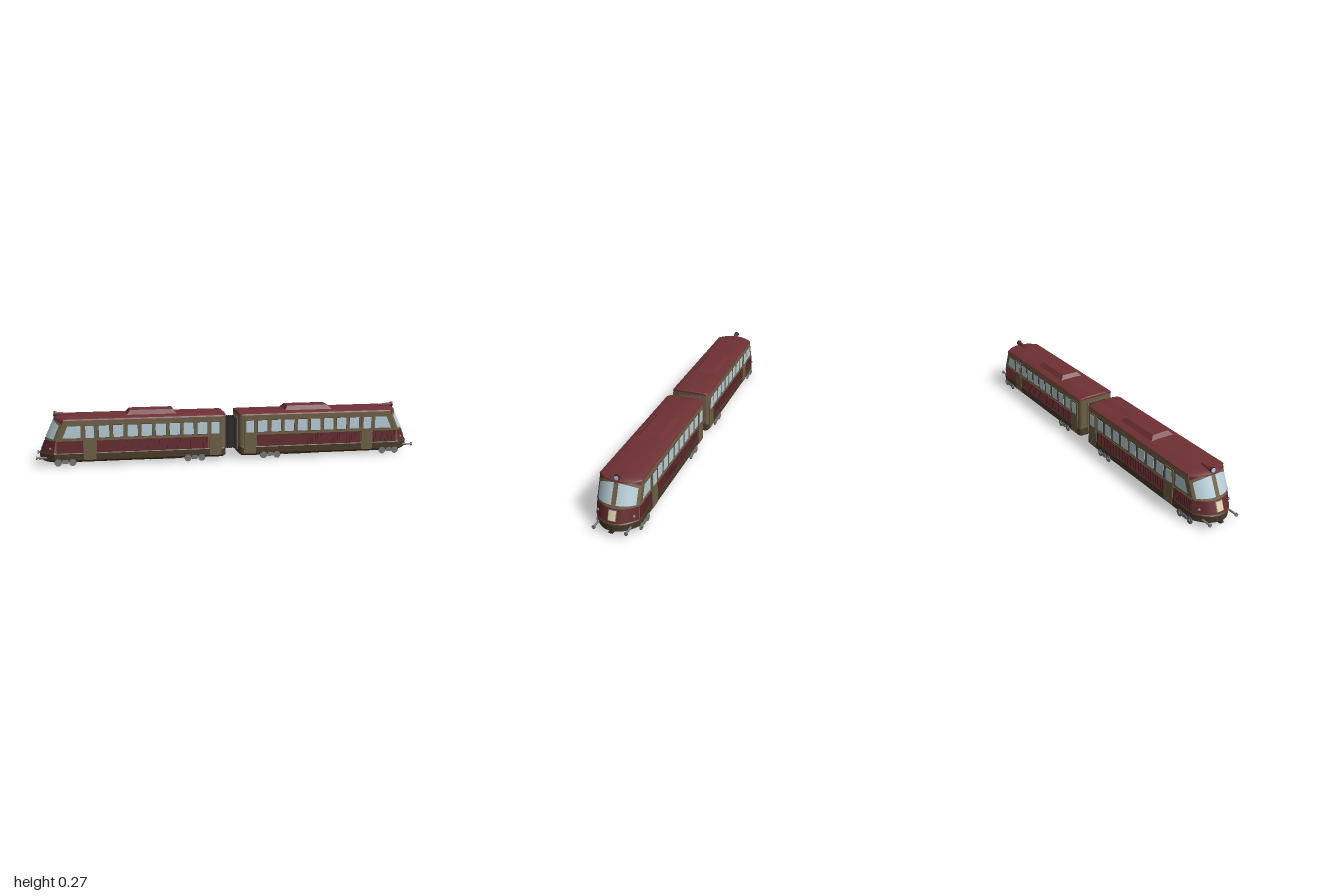
import * as THREE from 'three';
import { toCreasedNormals } from 'three/addons/utils/BufferGeometryUtils.js';

const mat = (name, color, side = THREE.FrontSide) => {
  const m = new THREE.MeshStandardMaterial({ color, side });
  m.name = name;
  return m;
};

export function createModel() {
  const brown = mat('olive brown', 0x6e6045);
  const dark = mat('dark brown', 0x4a3b27);
  const red = mat('roof red', 0x6e3033);
  const panelRed = mat('panel red', 0x652a2e, THREE.DoubleSide);
  const glass = mat('pale glass', 0xb9ced8, THREE.DoubleSide);
  const cream = mat('cream', 0xe2d2a6, THREE.DoubleSide);
  const grey = mat('steel grey', 0x77777a);
  const black = mat('rubber black', 0x29292a);
  const REAR = 0.035, W = 0.1;

  const add = (parent, name, geo, material, x = 0, y = 0, z = 0) => {
    const m = new THREE.Mesh(geo, material);
    m.name = name;
    m.position.set(x, y, z);
    parent.add(m);
    return m;
  };
  // Box given by its limits
  const box = (p, name, m, x0, x1, y0, y1, z0, z1) =>
    add(p, name, new THREE.BoxGeometry(x1 - x0, y1 - y0, z1 - z0), m, (x0 + x1) / 2, (y0 + y1) / 2, (z0 + z1) / 2);

  // Plan outlines of the body: bowed nose, straight sides, rounded inner corners
  const nose = ([y, w, xc, d]) => {
    const pts = [];
    for (let i = 0; i <= 20; i++) {
      const t = 1 - i / 10;
      pts.push([xc - d * Math.pow(Math.abs(t), 2.2), y, w * t]);
    }
    return pts;
  };
  const sides = ([y, w, xc, d, inset = 0]) => {
    const pts = [[xc - d, y, -w]], r = 0.018, x = REAR + inset;
    for (let i = 0; i <= 5; i++) {
      const a = i * Math.PI / 10;
      pts.push([x + r - r * Math.sin(a), y, -w + r - r * Math.cos(a)]);
    }
    return pts.concat(pts.map(p => [p[0], y, -p[2]]).reverse());
  };
  const whole = row => nose(row).concat(sides(row));

  // Skin between stacked outlines, optionally closed below or above
  const loft = (rows, outline, bottom, top) => {
    const v = [], rings = rows.map(outline);
    for (let k = 0; k + 1 < rings.length; k++)
      for (let i = 0; i + 1 < rings[k].length; i++) {
        const a = rings[k][i], b = rings[k][i + 1], c = rings[k + 1][i + 1], d = rings[k + 1][i];
        v.push(...a, ...b, ...c, ...a, ...c, ...d);
      }
    const cap = (ring, up) => {
      const c = [0.5, ring[0][1], 0];
      ring.forEach((a, i) => {
        const b = ring[(i + 1) % ring.length];
        v.push(...c, ...(up ? a : b), ...(up ? b : a));
      });
    };
    if (bottom) cap(rings[0], false);
    if (top) cap(rings[rings.length - 1], true);
    const g = new THREE.BufferGeometry();
    g.setAttribute('position', new THREE.Float32BufferAttribute(v, 3));
    g.computeVertexNormals();
    return toCreasedNormals(g, 0.5);
  };

  // Main levels: y, half width, nose x, nose bow depth
  const low = [0.065, W, 0.978, 0.066], mid = [0.13, W, 0.953, 0.054], high = [0.232, W, 0.906, 0.05];
  const frontX = (y, z) => {
    const [a, b] = y < mid[0] ? [low, mid] : [mid, high];
    const t = (y - a[0]) / (b[0] - a[0]);
    return a[2] + (b[2] - a[2]) * t - (a[3] + (b[3] - a[3]) * t) * Math.pow(Math.abs(z) / W, 2.2);
  };
  // Thin plate following the bowed nose
  const nosePatch = (p, name, m, z0, z1, yb, yt, off) => {
    const n = 8, v = [], idx = [];
    for (let i = 0; i <= n; i++) {
      const z = z0 + (z1 - z0) * i / n;
      for (const y of [yb(z), yt(z)]) v.push(frontX(y, z) + off, y, z);
      if (i < n) idx.push(2 * i, 2 * i + 2, 2 * i + 3, 2 * i, 2 * i + 3, 2 * i + 1);
    }
    const g = new THREE.BufferGeometry();
    g.setAttribute('position', new THREE.Float32BufferAttribute(v, 3));
    g.setIndex(z1 < z0 ? idx : idx.reverse());
    g.computeVertexNormals();
    add(p, name, g, m);
  };

  const buildCar = () => {
    const car = new THREE.Group();
    // Body shell
    add(car, 'skirt', loft([[0.018, 0.096, 0.968, 0.075, 0.012], [0.028, 0.103, 0.982, 0.078],
      [0.061, 0.104, 0.985, 0.076], [0.066, W, 0.976, 0.066]], whole, true, true), dark);
    add(car, 'bodySides', loft([low, mid], sides), brown);
    add(car, 'nosePanel', loft([low, mid], nose), panelRed);
    add(car, 'upperBody', loft([mid, high], whole), brown);
    add(car, 'roof', loft([[0.23, 0.102, 0.91, 0.05], [0.236, 0.099, 0.908, 0.05], [0.241, 0.09, 0.9, 0.05],
      [0.245, 0.07, 0.886, 0.045, 0.004], [0.247, 0.04, 0.872, 0.03, 0.008]], whole, true, true), red);

    // Roof pod with sloped sides
    const pod = new THREE.BoxGeometry(0.26, 0.026, 0.136);
    const pp = pod.attributes.position;
    for (let i = 0; i < pp.count; i++)
      if (pp.getY(i) > 0) { pp.setX(i, pp.getX(i) * 0.85); pp.setZ(i, pp.getZ(i) * 0.65); }
    pod.computeVertexNormals();
    add(car, 'roofPod', pod, red, 0.415, 0.254, 0);

    // Top headlamp and its fairing
    add(car, 'lampFairing', new THREE.CylinderGeometry(0.013, 0.005, 0.075, 8).rotateZ(-Math.PI / 2), red, 0.868, 0.25);
    add(car, 'lampRim', new THREE.CylinderGeometry(0.014, 0.014, 0.008, 16).rotateZ(-Math.PI / 2), black, 0.904, 0.252);
    add(car, 'lampGlass', new THREE.CylinderGeometry(0.011, 0.011, 0.004, 16).rotateZ(-Math.PI / 2), glass, 0.908, 0.252);

    // Nose details
    const arch = z => 0.23 - 3.2 * z * z;
    nosePatch(car, 'noseSill', brown, 0.099, -0.099, () => 0.127, () => 0.135, 0.003);
    nosePatch(car, 'routePlateFrame', grey, 0.02, -0.02, () => 0.074, () => 0.122, 0.002);
    nosePatch(car, 'routePlate', cream, 0.017, -0.017, () => 0.077, () => 0.119, 0.004);
    box(car, 'coupler', black, 0.95, 0.989, 0.02, 0.028, -0.01, 0.01);
    for (const s of [1, -1]) {
      nosePatch(car, 'windscreen', glass, 0.011 * s, 0.09 * s, z => 0.141 - Math.abs(z) * 0.06, arch, 0.003);
      nosePatch(car, 'noseShoulder', panelRed, 0.058 * s, 0.099 * s, z => arch(z) + 0.012, () => 0.232, 0.002);
      for (let i = 1; i < 5; i++) {
        const z = s * (0.01 + i * 0.018);
        if (i > 1) nosePatch(car, 'noseRib', panelRed, z + 0.002, z - 0.002, () => 0.067, () => 0.127, 0.003);
      }
      add(car, 'markerLamp', new THREE.SphereGeometry(0.007, 12, 8), grey, frontX(0.087, 0.085) + 0.002, 0.087, s * 0.085);
      add(car, 'buffer', new THREE.CylinderGeometry(0.005, 0.005, 0.05, 12).rotateZ(Math.PI / 2), grey, 0.97, 0.041, s * 0.076);
      add(car, 'bufferHead', new THREE.CylinderGeometry(0.009, 0.009, 0.006, 16).rotateZ(Math.PI / 2), grey, 0.997, 0.041, s * 0.076);
    }

    // Each long side, mirrored by half a turn of the z axis
    for (const s of [1, -1]) {
      const plate = (name, m, x0, x1, y0, y1, t) => {
        const z0 = s * (W - 0.002), z1 = s * (W + t);
        box(car, name, m, x0, x1, y0, y1, Math.min(z0, z1), Math.max(z0, z1));
      };
      const window = (x0, x1) => {
        plate('windowFrame', dark, x0 - 0.002, x1 + 0.002, 0.139, 0.204, 0.001);
        plate('sideWindow', glass, x0, x1, 0.141, 0.202, 0.0025);
      };
      for (const [x0, x1] of [[0.13, 0.697], [0.765, 0.896]]) {
        plate('ribbedPanel', panelRed, x0, x1, 0.063, 0.126, 0.001);
        const n = Math.round((x1 - x0) / 0.0135);
        for (let i = 0; i < n; i++) {
          const x = x0 + (i + 0.5) * (x1 - x0) / n;
          plate('panelRib', panelRed, x - 0.003, x + 0.003, 0.065, 0.124, 0.004);
        }
        plate('beltTrim', brown, x0, x1, 0.126, 0.131, 0.003);
      }
      plate('cornice', brown, 0.055, 0.853, 0.222, 0.23, 0.002);
      plate('cabDoor', brown, 0.7, 0.762, 0.028, 0.21, 0.005);
      plate('endDoor', brown, 0.06, 0.122, 0.028, 0.21, 0.005);
      plate('cabDoorWindow', glass, 0.71, 0.752, 0.141, 0.202, 0.0065);
      plate('endDoorWindow', glass, 0.07, 0.112, 0.141, 0.202, 0.0065);
      for (let i = 0; i < 8; i++) window(0.133 + i * 0.0715, 0.185 + i * 0.0715);
      const cab = new THREE.Shape([[0.776, 0.141], [0.866, 0.141], [0.84, 0.202], [0.776, 0.202]]
        .map(p => new THREE.Vector2(...p)));
      add(car, 'cabSideWindow', new THREE.ShapeGeometry(cab), glass, 0, 0, s * (W + 0.002));

      // Bogie side frames with wheels
      for (const cx of [0.2, 0.855]) {
        const bogie = new THREE.Group();
        bogie.name = 'bogie';
        box(bogie, 'bogieBar', grey, cx - 0.055, cx + 0.055, 0.018, 0.024, s * 0.104 - 0.002, s * 0.104 + 0.002);
        box(bogie, 'bogieSpring', grey, cx - 0.014, cx + 0.014, 0.012, 0.032, s * 0.104 - 0.003, s * 0.104 + 0.003);
        for (const dx of [-0.036, 0.036]) {
          const disc = (name, r, h, z) =>
            add(bogie, name, new THREE.CylinderGeometry(r, r, h, 20).rotateX(Math.PI / 2), grey, cx + dx, 0.018, s * z);
          disc('wheel', 0.018, 0.005, 0.103);
          disc('axleBox', 0.007, 0.006, 0.107);
        }
        car.add(bogie);
      }
    }

    // Inner end frame and underfloor equipment
    box(car, 'gangwayFrame', brown, 0.03, 0.04, 0.045, 0.215, -0.058, 0.058);
    box(car, 'underfloorCase', dark, 0.28, 0.43, 0.013, 0.025, -0.08, 0.08);
    box(car, 'underfloorHatch', dark, 0.5, 0.68, 0.015, 0.022, -0.06, 0.06);
    return car;
  };

  const model = new THREE.Group();
  model.name = 'railcar';
  for (const [name, turn] of [['leftCar', 0], ['rightCar', Math.PI]]) {
    const car = buildCar();
    car.name = name;
    car.rotation.y = turn;
    model.add(car);
  }
  // Pleated gangway between the cars
  for (let i = 0; i < 6; i++) {
    const x = -0.03 + i * 0.01;
    box(model, 'bellowsFold', black, x, x + 0.006, 0.05, 0.21, -0.05, 0.05);
    box(model, 'bellowsCore', black, x + 0.006, x + 0.01, 0.054, 0.206, -0.046, 0.046);
  }
  return model;
}
